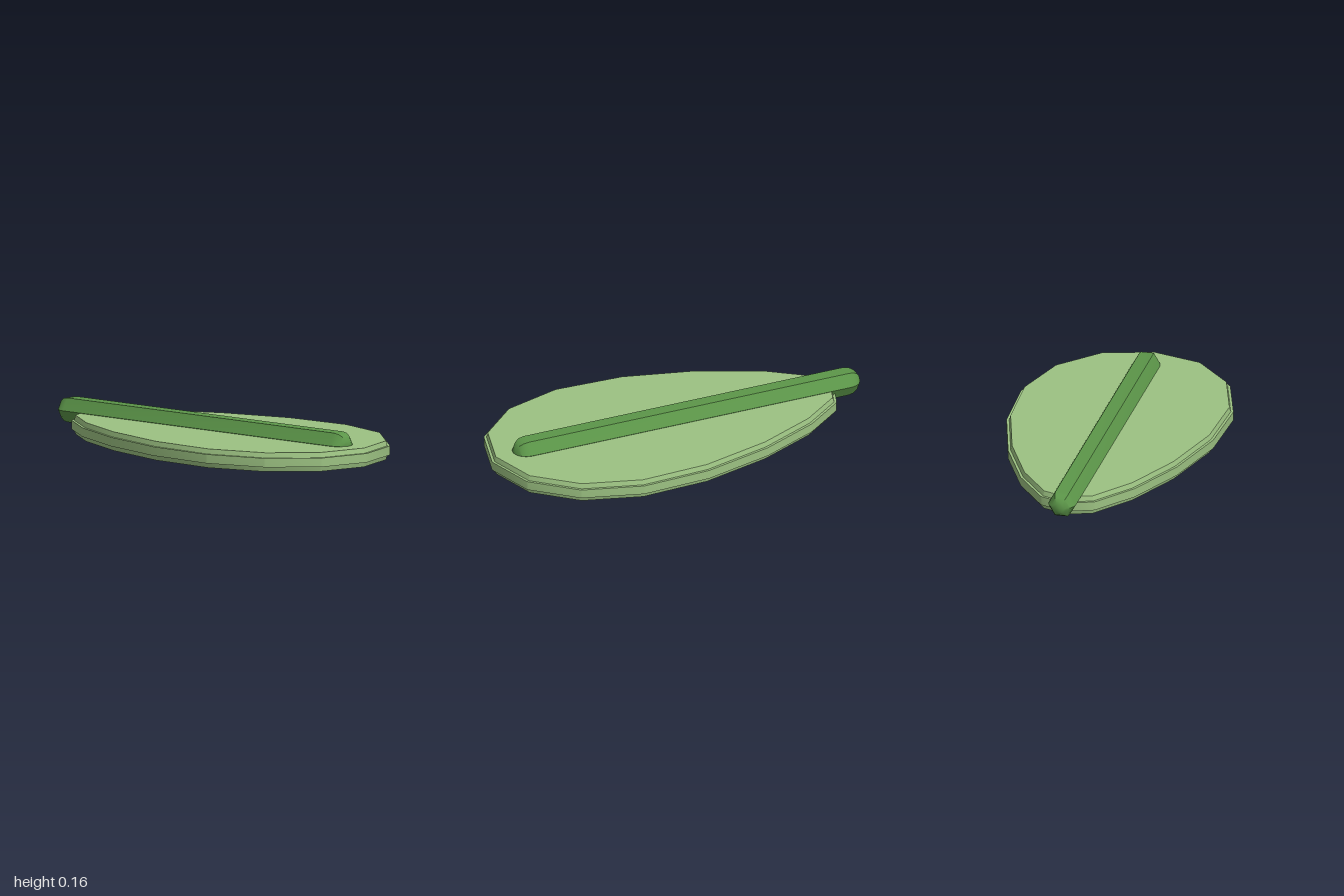
import * as THREE from 'three';
import { toCreasedNormals } from 'three/addons/utils/BufferGeometryUtils.js';

// Half outline of the blade (x, z) from the broad end to the stalk end
const HALF = [
  [0.98, 0], [0.91, 0.25], [0.71, 0.435], [0.415, 0.523], [0.06, 0.508],
  [-0.3, 0.412], [-0.6, 0.275], [-0.8, 0.125], [-0.845, 0],
];
const OUTLINE = [...HALF, ...HALF.slice(1, -1).reverse().map(([x, z]) => [x, -z])];

// Edge profile: height and how far the edge stands out from the outline
const PROFILE = [
  [0, 0], [0.025, 0.007], [0.025, 0.02], [0.07, 0.02], [0.07, 0.007], [0.095, 0],
];

// Each outline edge is pushed outward on its own, leaving small chamfers at corners
function ring(y, out) {
  return OUTLINE.flatMap(([x, z], i) => {
    const [x2, z2] = OUTLINE[(i + 1) % OUTLINE.length];
    const len = Math.hypot(x2 - x, z2 - z);
    const nx = (z2 - z) / len * out;
    const nz = -(x2 - x) / len * out;
    return [new THREE.Vector3(x + nx, y, z + nz), new THREE.Vector3(x2 + nx, y, z2 + nz)];
  });
}

function bladeGeometry() {
  const rings = PROFILE.map(([y, out]) => ring(y, out));
  const n = rings[0].length;
  const height = PROFILE[PROFILE.length - 1][0];
  // Collapsed rings close the bottom and the top
  rings.unshift(Array(n).fill(new THREE.Vector3(0.1, 0, 0)));
  rings.push(Array(n).fill(new THREE.Vector3(0.1, height, 0)));

  const pos = [];
  const addTri = (a, b, c) => {
    if (new THREE.Triangle(a, b, c).getArea() < 1e-8) return;
    for (const p of [a, b, c]) pos.push(p.x, p.y, p.z);
  };
  for (let k = 0; k < rings.length - 1; k++) {
    for (let i = 0; i < n; i++) {
      const j = (i + 1) % n;
      const low = rings[k], high = rings[k + 1];
      addTri(low[i], high[i], high[j]);
      addTri(low[i], high[j], low[j]);
    }
  }
  const geo = new THREE.BufferGeometry();
  geo.setAttribute('position', new THREE.Float32BufferAttribute(pos, 3));
  return toCreasedNormals(geo, 0.5);
}

export function createModel() {
  const leafGreen = new THREE.MeshStandardMaterial({ color: 0x9cc282 });
  leafGreen.name = 'leafGreen';
  const stemGreen = new THREE.MeshStandardMaterial({ color: 0x5c9649 });
  stemGreen.name = 'stemGreen';

  const model = new THREE.Group();
  model.name = 'leaf';

  const blade = new THREE.Mesh(bladeGeometry(), leafGreen);
  blade.name = 'blade';
  model.add(blade);

  // Six-sided midrib with rounded ends, running out past the blade as a stalk
  const rib = new THREE.CapsuleGeometry(0.07, 1.745, 4, 6);
  rib.rotateY(Math.PI / 2).rotateZ(Math.PI / 2);
  const midrib = new THREE.Mesh(toCreasedNormals(rib, 0.7), stemGreen);
  midrib.name = 'midrib';
  midrib.position.set(-0.0575, 0.097, 0);
  model.add(midrib);

  return model;
}
